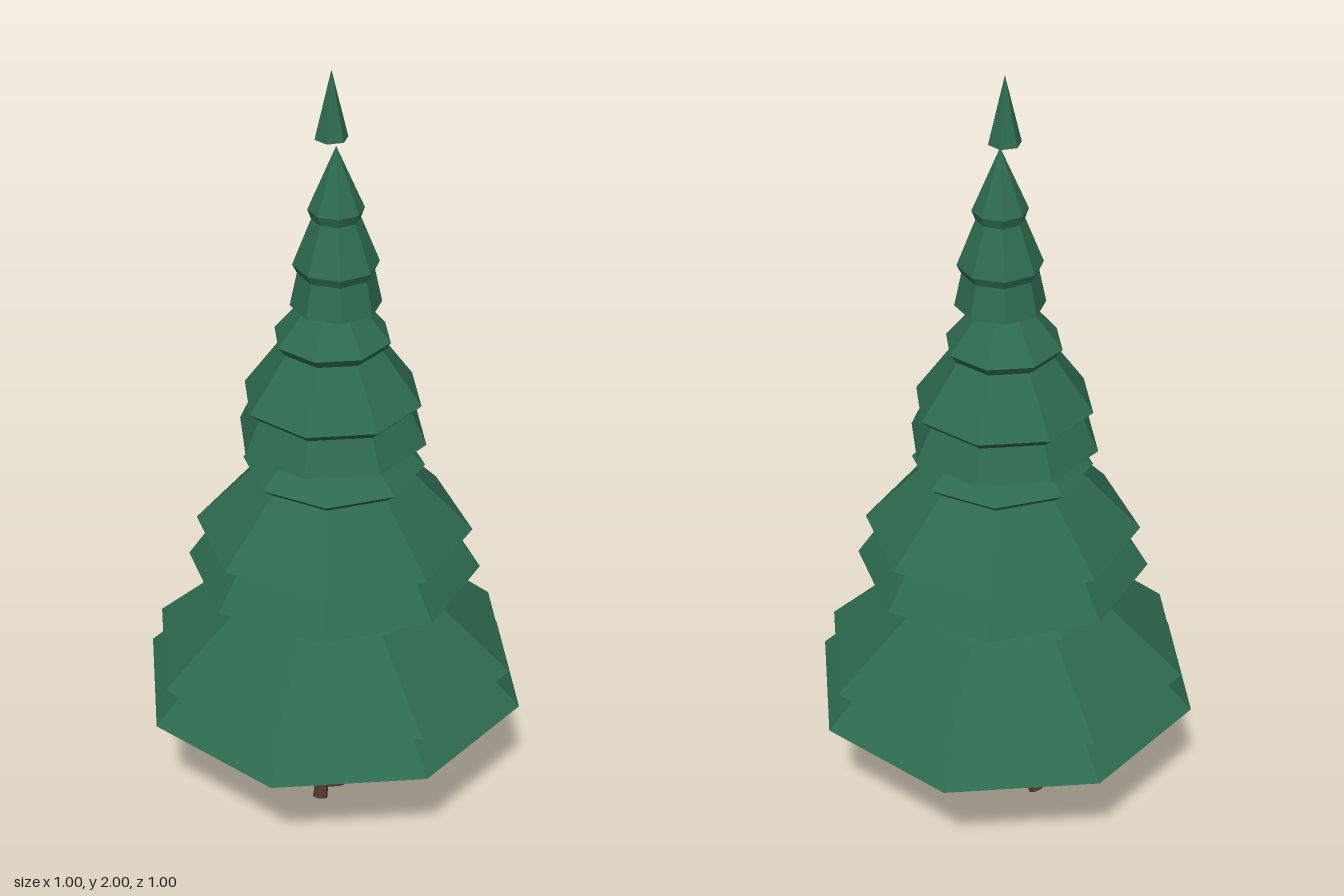
import * as THREE from 'three';

const needles = new THREE.MeshStandardMaterial({ color: 0x2d6a4f, flatShading: true });
const bark = new THREE.MeshStandardMaterial({ color: 0x4e342e, flatShading: true });

// One foliage tier: an eight-sided stack of three skirts, closed underneath
function makeTier(radius, heights, [x, z], turn) {
  const [base, ringA, ringB, apex] = heights;
  const profile = [
    [0, base], [radius, base],
    [radius * 0.84, ringA - 0.022], [radius * 0.94, ringA],
    [radius * 0.53, ringB - 0.024], [radius * 0.61, ringB],
    [0, apex],
  ].map(([r, y]) => new THREE.Vector2(r, y));
  const tier = new THREE.Mesh(new THREE.LatheGeometry(profile, 8), needles);
  tier.position.set(x, 0, z);
  tier.rotation.y = turn;
  return tier;
}

// Tapered cylinder running between two points
function makeLimb(from, to, rTop, rBottom, sides) {
  const dir = from.clone().sub(to);
  const limb = new THREE.Mesh(new THREE.CylinderGeometry(rTop, rBottom, dir.length(), sides), bark);
  limb.position.copy(from).add(to).multiplyScalar(0.5);
  limb.quaternion.setFromUnitVectors(new THREE.Vector3(0, 1, 0), dir.normalize());
  return limb;
}

export function createModel() {
  const tree = new THREE.Group();
  tree.name = 'pineTree';

  // Trunk
  const trunk = makeLimb(new THREE.Vector3(0, 0.45, 0.005), new THREE.Vector3(0, 0, 0.005), 0.047, 0.057, 8);
  trunk.name = 'trunk';
  tree.add(trunk);

  // Three splayed roots
  const roots = new THREE.Group();
  roots.name = 'roots';
  for (let i = 0; i < 3; i++) {
    const a = (i / 3) * Math.PI * 2;
    const at = (r, y) => new THREE.Vector3(Math.sin(a) * r, y, Math.cos(a) * r + 0.005);
    roots.add(makeLimb(at(0.032, 0.19), at(0.118, 0.015), 0.013, 0.02, 6));
  }
  tree.add(roots);

  // Foliage tiers, bottom to top
  const foliage = new THREE.Group();
  foliage.name = 'foliage';
  [
    [0.5, [0.334, 0.437, 0.643, 0.85], [0, 0], -0.04],
    [0.368, [0.694, 0.803, 0.985, 1.18], [0.008, 0.012], 0.178],
    [0.238, [1.06, 1.165, 1.325, 1.5], [0, -0.002], -0.026],
    [0.11, [1.42, 1.526, 1.665, 1.82], [0.013, 0.013], 0.366],
  ].forEach((spec, i) => {
    const tier = makeTier(...spec);
    tier.name = 'foliageTier' + (i + 1);
    foliage.add(tier);
  });
  tree.add(foliage);

  // Small separate cone at the very top
  const tip = new THREE.Mesh(new THREE.ConeGeometry(0.04, 0.165, 6), needles);
  tip.name = 'treeTip';
  tip.position.set(0, 1.9175, 0.006);
  tree.add(tip);

  return tree;
}
